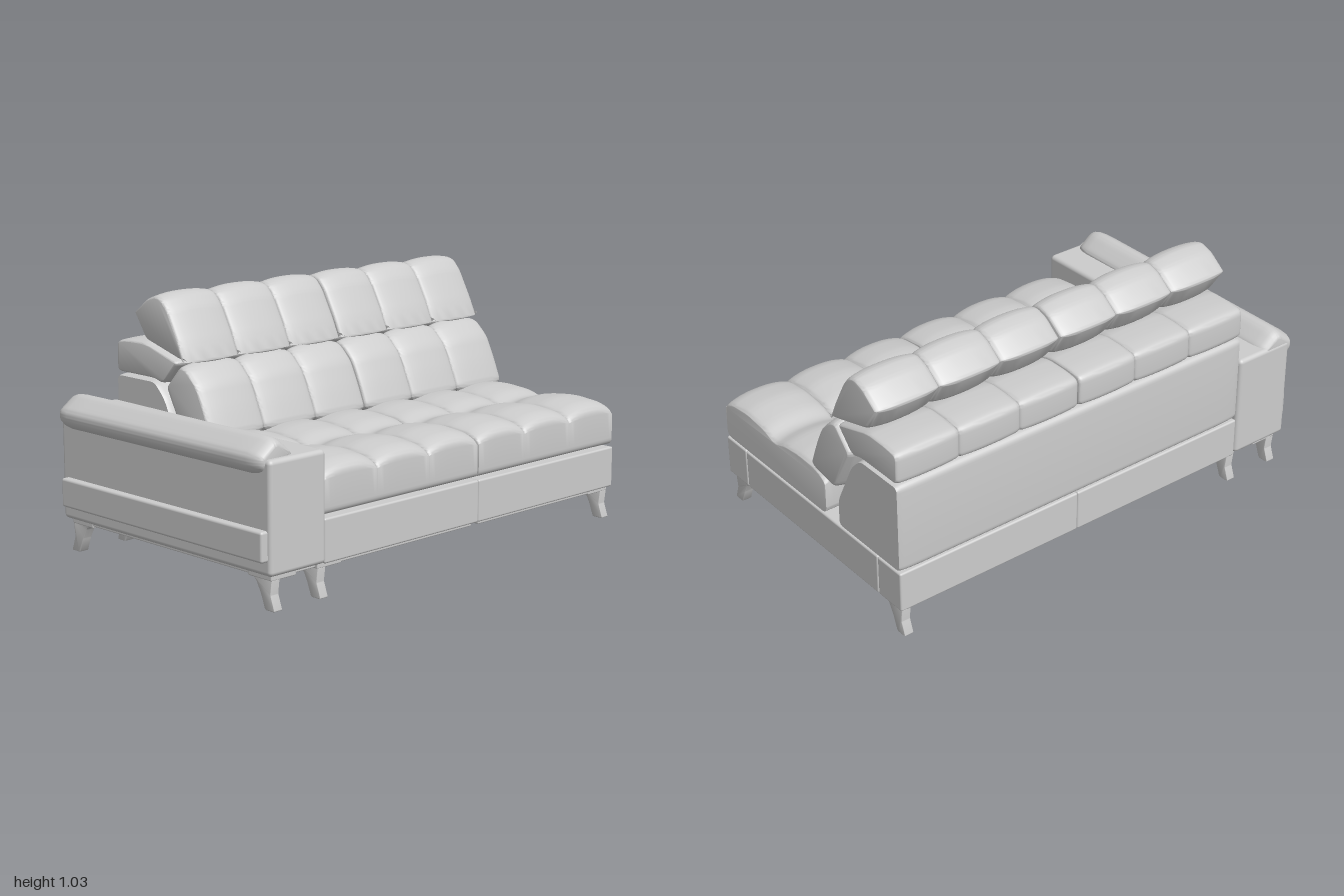
import * as THREE from 'three';
import { toCreasedNormals } from 'three/addons/utils/BufferGeometryUtils.js';
import { RoundedBoxGeometry } from 'three/addons/geometries/RoundedBoxGeometry.js';

const upholstery = new THREE.MeshStandardMaterial({ color: 0xcccccc });
upholstery.name = 'light grey upholstery';

// Closed outline with every corner rounded, counter-clockwise
function roundedOutline(points, radius) {
  const p = points.map(([a, b]) => new THREE.Vector2(a, b));
  const shape = new THREE.Shape();
  p.forEach((c, i) => {
    const prev = p[(i + p.length - 1) % p.length], next = p[(i + 1) % p.length];
    const cut = (o) => c.clone().lerp(o, Math.min(0.45, radius / c.distanceTo(o)));
    const s = cut(prev), e = cut(next);
    if (i === 0) shape.moveTo(s.x, s.y); else shape.lineTo(s.x, s.y);
    shape.quadraticCurveTo(c.x, c.y, e.x, e.y);
  });
  const out = shape.getPoints(6);
  if (THREE.ShapeUtils.isClockWise(out)) out.reverse();
  return out;
}

// Pad lofted along x from a (z, y) outline; it shrinks by `tuft` towards its
// ends, with a tight rounded `edge`. `topOnly` sinks only points above that y.
function pad(points, radius, x0, x1, { tuft = 0, edge = 0, topOnly = null } = {}) {
  const ring = roundedOutline(points, radius), n = ring.length;
  const half = [0.3, 0.55, 0.75, 0.88, 0.94, 0.975, 0.993, 1];
  const steps = [...half.map((s) => -s).reverse(), 0, ...half];
  const pos = [], index = [];
  for (const s of steps) {
    const t = Math.abs(s), k = Math.max(0, (t - 0.88) / 0.12);
    const inset = tuft * t ** 2.5 + edge * (1 - Math.sqrt(1 - k * k));
    ring.forEach((p, i) => {
      const q = ring[(i + 1) % n].clone().sub(ring[(i + n - 1) % n]).normalize();
      let { x: a, y: b } = p;
      if (topOnly === null) { a -= q.y * inset; b += q.x * inset; }
      else if (b > topOnly) b -= inset * Math.min(1, (b - topOnly) / 0.03);
      pos.push((x0 + x1) / 2 + (s * (x1 - x0)) / 2, b, a);
    });
  }
  for (let j = 0; j < steps.length - 1; j++) {
    for (let i = 0; i < n; i++) {
      const a = j * n + i, b = j * n + (i + 1) % n;
      index.push(a, a + n, b, b, a + n, b + n);
    }
  }
  const last = (steps.length - 1) * n;
  for (const [a, b, c] of THREE.ShapeUtils.triangulateShape(ring, [])) {
    index.push(a, b, c, last + a, last + c, last + b);
  }
  const g = new THREE.BufferGeometry();
  g.setAttribute('position', new THREE.Float32BufferAttribute(pos, 3));
  g.setIndex(index);
  return toCreasedNormals(g, 0.6);
}

// Rounded box given by its limits
function block(x0, x1, y0, y1, z0, z1, r) {
  return new RoundedBoxGeometry(x1 - x0, y1 - y0, z1 - z0, 3, r)
    .translate((x0 + x1) / 2, (y0 + y1) / 2, (z0 + z1) / 2);
}

export function createModel() {
  const root = new THREE.Group();
  root.name = 'sofa';
  const add = (name, geometry, parent = root) => {
    const mesh = new THREE.Mesh(geometry, upholstery);
    mesh.name = name;
    parent.add(mesh);
    return mesh;
  };
  const group = (name) => {
    const g = new THREE.Group();
    g.name = name;
    root.add(g);
    return g;
  };

  // Base frame, divided at the middle seam and at the corners
  const base = group('base');
  const zCuts = [-0.597, -0.452, 0.448, 0.59];
  for (const [x0, x1] of [[-0.69, 0.149], [0.149, 0.992]]) {
    for (let i = 0; i < 3; i++) {
      add('baseSection', block(x0, x1, 0.13, 0.3, zCuts[i], zCuts[i + 1], 0.008), base);
    }
    add('undersidePanel', block(x0 + 0.02, x1 - 0.02, 0.115, 0.14, -0.57, 0.57, 0.004), base);
  }

  // Back shell with swept front edge
  add('backShell', pad([
    [-0.2, 0.3], [-0.2, 0.42], [-0.3, 0.62], [-0.36, 0.68], [-0.597, 0.68], [-0.597, 0.3],
  ], 0.03, -0.69, 0.99, { edge: 0.008 }));

  // Tufted upholstery, six columns in two halves
  const seatOutline = [
    [0.583, 0.308], [0.583, 0.478], [0.53, 0.502], [0.42, 0.514], [0.3, 0.502], [0.228, 0.474],
    [0.15, 0.502], [0.04, 0.512], [-0.06, 0.506], [-0.12, 0.48], [-0.12, 0.308],
  ];
  const lowerBackOutline = [
    [-0.015, 0.5], [-0.04, 0.47], [-0.18, 0.448], [-0.205, 0.465], [-0.312, 0.665],
    [-0.215, 0.77], [-0.165, 0.758], [-0.1, 0.695], [-0.055, 0.6],
  ];
  const headrestOutline = [
    [-0.16, 0.762], [-0.2, 0.85], [-0.265, 0.97], [-0.305, 1.015], [-0.35, 1.028],
    [-0.41, 1.008], [-0.498, 0.94], [-0.42, 0.825], [-0.215, 0.768],
  ];
  const railOutline = [
    [-0.215, 0.768], [-0.312, 0.665], [-0.37, 0.682], [-0.598, 0.682], [-0.598, 0.815],
    [-0.53, 0.826], [-0.42, 0.828],
  ];
  const seat = group('seatCushions'), lower = group('lowerBackCushions');
  const head = group('headrests'), rail = group('backRailCushions');
  for (let i = 0; i < 6; i++) {
    const x0 = -0.69 + 0.28 * i + (i === 3 ? 0.004 : 0);
    const x1 = -0.41 + 0.28 * i - (i === 2 ? 0.004 : 0);
    add('seatColumn', pad(seatOutline, 0.03, x0, x1, { tuft: 0.026, edge: 0.006, topOnly: 0.44 }), seat);
    add('lowerBackColumn', pad(lowerBackOutline, 0.03, x0, x1, { tuft: 0.016, edge: 0.007 }), lower);
    add('headrestColumn', pad(headrestOutline, 0.02, x0, x1, { tuft: 0.015, edge: 0.007 }), head);
    add('railColumn', pad(railOutline, 0.03, x0, x1, { tuft: 0.006, edge: 0.007 }), rail);
  }

  // Armrest body, its top rising slightly to the rear
  const arm = group('armrest');
  const armBody = block(-0.968, -0.692, 0.135, 0.56, -0.6, 0.6, 0.018);
  const p = armBody.attributes.position;
  for (let i = 0; i < p.count; i++) {
    if (p.getY(i) > 0.4) p.setY(i, p.getY(i) + 0.008 - 0.012 * p.getZ(i));
  }
  add('armBody', armBody, arm);
  add('armUnderside', block(-0.94, -0.72, 0.12, 0.15, -0.57, 0.57, 0.004), arm);
  add('armSideStrip', block(-0.998, -0.95, 0.19, 0.305, -0.57, 0.585, 0.01), arm);

  // Soft roll along the outer top of the arm (outline in -x, y)
  const roll = pad([
    [1.0, 0.575], [0.92, 0.634], [0.885, 0.628], [0.82, 0.575], [0.82, 0.55], [0.95, 0.49], [0.997, 0.525],
  ], 0.025, -0.597, 0.575, { edge: 0.03 });
  add('armRoll', roll.rotateY(-Math.PI / 2), arm);

  // Splayed legs with mounting plates
  const legOutline = [
    [0.46, 0.12], [0.575, 0.12], [0.567, 0.06], [0.588, 0.0], [0.538, 0.0], [0.515, 0.06], [0.49, 0.105],
  ];
  const legs = group('legs');
  for (const [x, dir] of [[-0.92, 1], [-0.692, 1], [0.953, -1]]) {
    for (const side of [1, -1]) {
      const outline = legOutline.map(([z, y]) => [z * side, y]);
      add(side > 0 ? 'frontLeg' : 'rearLeg', pad(outline, 0.008, x - 0.02, x + 0.02, { edge: 0.003 }), legs);
      const inner = x + dir * 0.1, outer = x - dir * 0.022;
      const [z0, z1] = side > 0 ? [0.45, 0.575] : [-0.575, -0.45];
      add('legPlate', block(Math.min(inner, outer), Math.max(inner, outer), 0.113, 0.136, z0, z1, 0.004), legs);
    }
  }
  return root;
}
